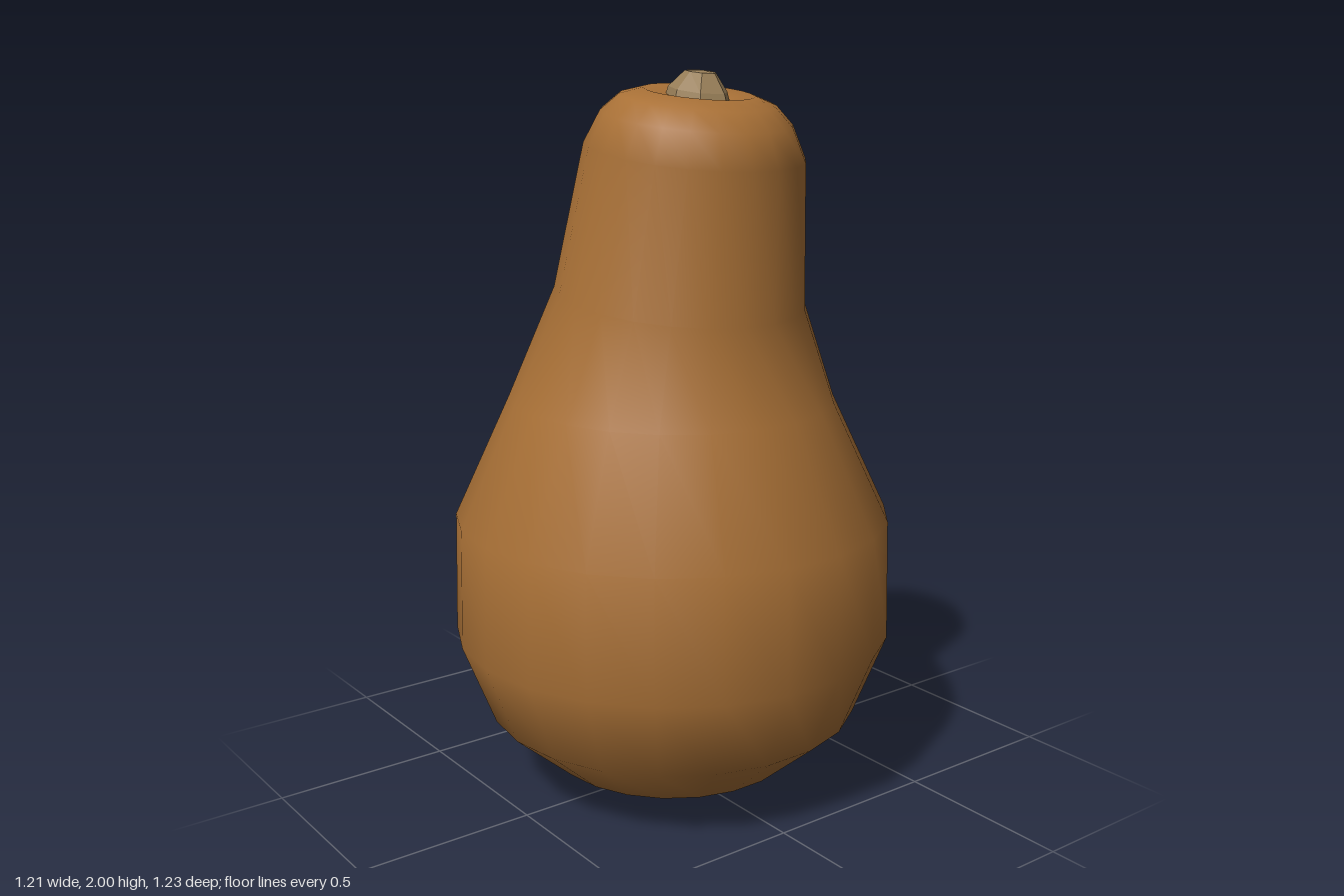
import * as THREE from 'three';
import { mergeVertices } from 'three/addons/utils/BufferGeometryUtils.js';

// Rings are [radius, height, sideways shift, tilt]; the tilt lowers the +x side.
function ringSolid(rings, sides) {
  const lathe = new THREE.LatheGeometry(rings.map(([r, y]) => new THREE.Vector2(r, y)), sides);
  const p = lathe.attributes.position;
  for (let i = 0; i < p.count; i++) {
    const [, , shift, tilt] = rings[i % rings.length];
    p.setY(i, p.getY(i) - tilt * p.getX(i));
    p.setX(i, p.getX(i) + shift);
  }
  // Weld the seam so the shading runs smoothly all the way round
  lathe.deleteAttribute('uv');
  lathe.deleteAttribute('normal');
  const solid = mergeVertices(lathe, 1e-4);
  solid.computeVertexNormals();
  return solid;
}

export function createModel() {
  const model = new THREE.Group();
  model.name = 'squash';
  const skin = new THREE.MeshStandardMaterial({ color: 0xa87036 });
  skin.name = 'tan skin';
  const wood = new THREE.MeshStandardMaterial({ color: 0x9a8059 });
  wood.name = 'dry stem';
  const dark = new THREE.MeshStandardMaterial({ color: 0x5c5040 });
  dark.name = 'blossom scar';

  const add = (name, geometry, material) => {
    const mesh = new THREE.Mesh(geometry, material);
    mesh.name = name;
    model.add(mesh);
    return mesh;
  };

  // Round belly, leaning neck and dimpled crown
  add('body', ringSolid([
    [0, 0.004, 0, 0],
    [0.11, 0.004, 0, 0],
    [0.24, 0.02, 0, 0],
    [0.35, 0.075, 0, 0],
    [0.523, 0.225, 0, 0],
    [0.613, 0.455, 0, 0],
    [0.605, 0.79, 0, 0],
    [0.45, 1.12, 0, 0.02],
    [0.34, 1.405, 0.036, 0.13],
    [0.292, 1.79, 0.1, 0.14],
    [0.252, 1.875, 0.107, 0.14],
    [0.205, 1.92, 0.112, 0.14],
    [0.145, 1.94, 0.115, 0.14],
    [0.085, 1.925, 0.116, 0.14],
    [0, 1.915, 0.118, 0.14],
  ], 22), skin);

  // Stubby faceted stem, slightly irregular
  const stem = ringSolid([
    [0, 1.9, 0.118, 0.14],
    [0.09, 1.92, 0.118, 0.14],
    [0.082, 1.945, 0.118, 0.14],
    [0.043, 1.99, 0.126, 0.12],
    [0, 1.994, 0.126, 0.12],
  ], 7);
  const p = stem.attributes.position;
  for (let i = 0; i < p.count; i++) {
    const angle = Math.atan2(p.getZ(i), p.getX(i) - 0.12);
    const k = 1 + 0.08 * Math.sin(angle * 3 + 1);
    p.setX(i, 0.12 + (p.getX(i) - 0.12) * k);
    p.setZ(i, p.getZ(i) * k * 0.92);
  }
  const facetedStem = stem.toNonIndexed();
  facetedStem.computeVertexNormals();
  add('stem', facetedStem, wood);

  // Thin blossom scar under the base
  const scar = add('blossomScar', new THREE.CylinderGeometry(0.085, 0.085, 0.006, 16), dark);
  scar.position.y = 0.003;
  return model;
}
